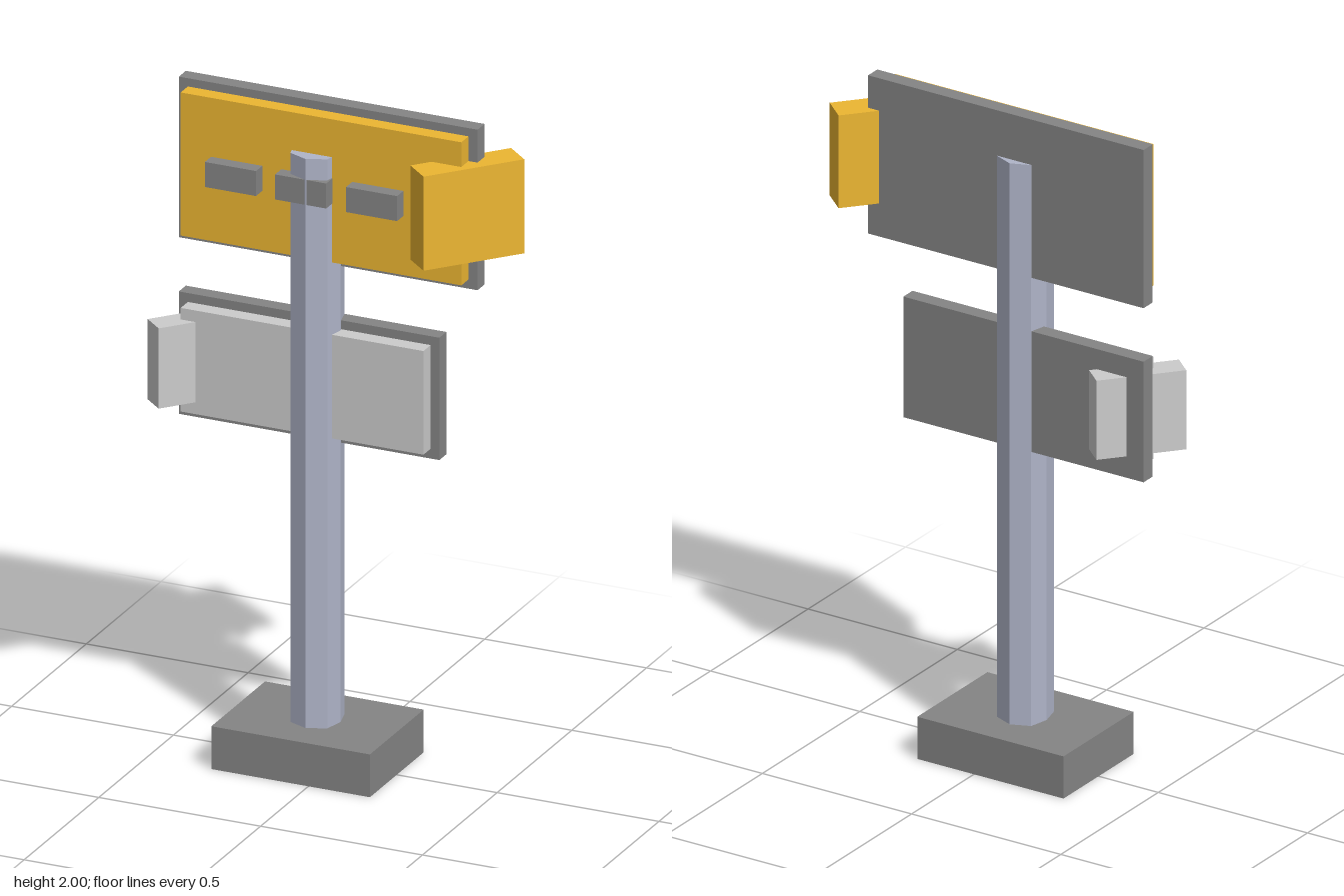
import * as THREE from 'three';

const mat = (color) => new THREE.MeshStandardMaterial({ color, flatShading: true });

export function createModel() {
  const group = new THREE.Group();
  const darkGrey = mat(0x858585);
  const lightGrey = mat(0xcccccc);
  const yellow = mat(0xecb632);
  const steel = mat(0xb0b5c9);

  const add = (name, geometry, material) => {
    const mesh = new THREE.Mesh(geometry, material);
    mesh.name = name;
    group.add(mesh);
    return mesh;
  };

  // Box given by its extents on each axis
  const block = (name, material, [x0, x1], [y0, y1], [z0, z1]) => {
    const mesh = add(name, new THREE.BoxGeometry(x1 - x0, y1 - y0, z1 - z0), material);
    mesh.position.set((x0 + x1) / 2, (y0 + y1) / 2, (z0 + z1) / 2);
    return mesh;
  };

  // Foot
  block('base', darkGrey, [-0.3, 0.19], [0, 0.13], [-0.18, 0.18]);

  // Eight-sided post, slightly narrower across x
  const section = new THREE.Shape([
    [0.071, 0], [0.057, 0.058], [0, 0.081], [-0.057, 0.058],
    [-0.071, 0], [-0.057, -0.058], [0, -0.081], [0.057, -0.058],
  ].map(([x, y]) => new THREE.Vector2(x, y)));
  const postGeometry = new THREE.ExtrudeGeometry(section, { depth: 1.74, bevelEnabled: false });
  postGeometry.rotateX(-Math.PI / 2);
  add('post', postGeometry, steel).position.set(-0.055, 0.12, 0);

  // Two signs: dark backing board with an inset face in front
  const backZ = [-0.057, -0.01];
  const faceZ = [-0.01, 0.038];
  block('upperBacking', darkGrey, [-0.488, 0.435], [1.512, 2], backZ);
  block('upperFace', yellow, [-0.46, 0.407], [1.54, 1.975], faceZ);
  block('lowerBacking', darkGrey, [-0.488, 0.317], [0.975, 1.347], backZ);
  block('lowerFace', lightGrey, [-0.46, 0.29], [1.005, 1.32], faceZ);

  // Row of raised bars on the upper sign
  for (const x of [-0.287, -0.07, 0.149]) {
    block('signBar', darkGrey, [x - 0.079, x + 0.079], [1.72, 1.796], [0.036, 0.08]);
  }

  // Slanted blocks at opposite ends of the signs
  const slanted = (name, material, x, y, size) => {
    const mesh = add(name, new THREE.BoxGeometry(...size), material);
    mesh.position.set(x, y, 0);
    mesh.rotation.y = THREE.MathUtils.degToRad(49);
  };
  slanted('upperArrowBlock', yellow, 0.408, 1.757, [0.31, 0.286, 0.09]);
  slanted('lowerArrowBlock', lightGrey, -0.431, 1.163, [0.262, 0.244, 0.075]);

  return group;
}
